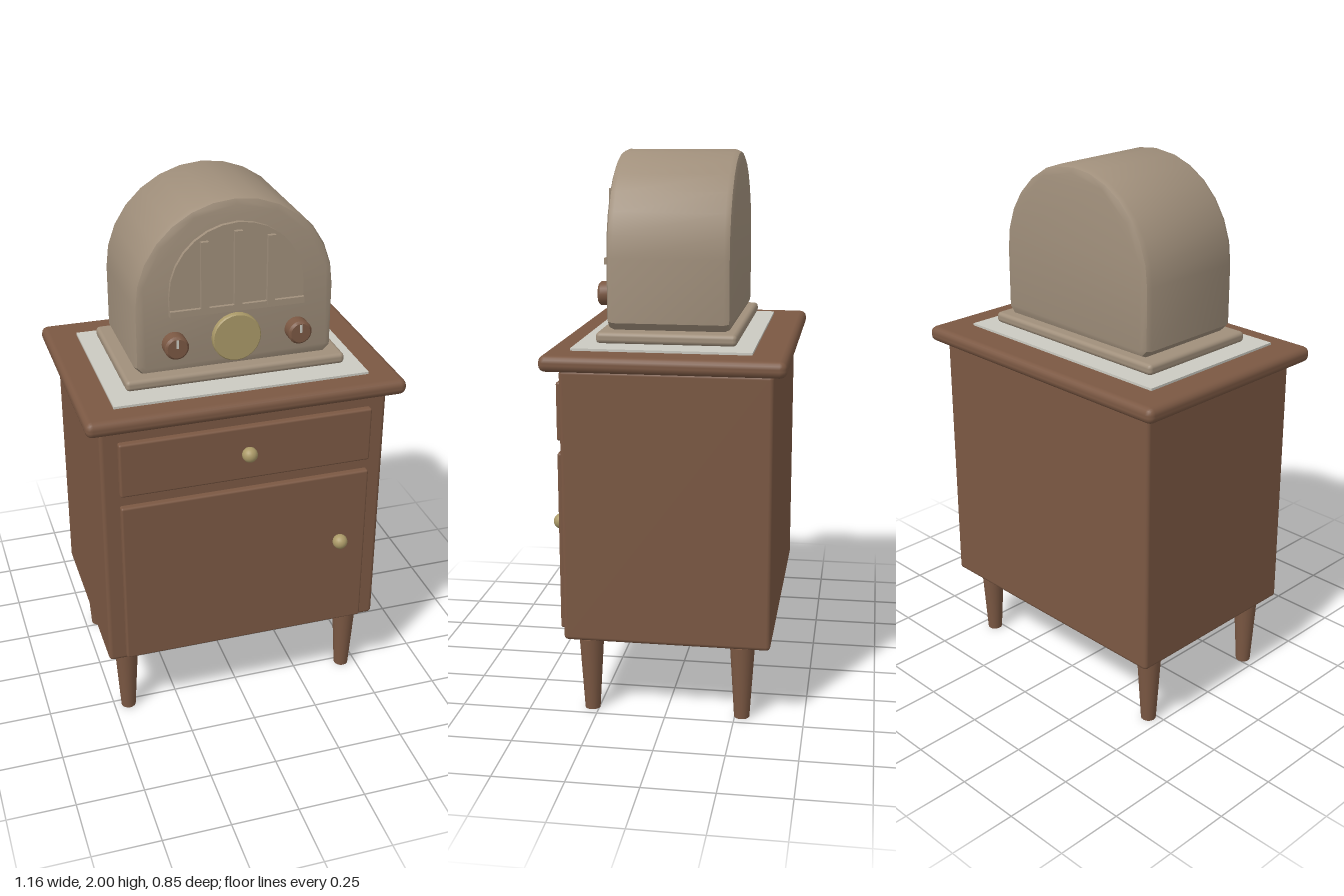
import * as THREE from 'three';
import { toCreasedNormals } from 'three/addons/utils/BufferGeometryUtils.js';
import { RoundedBoxGeometry } from 'three/addons/geometries/RoundedBoxGeometry.js';

const material = (name, color) => {
  const m = new THREE.MeshStandardMaterial({ color });
  m.name = name;
  return m;
};

export function createModel() {
  const model = new THREE.Group();
  const wood = material('brown wood', 0x7b5843);
  const shell = material('beige shell', 0xa08f7b);
  const brass = material('brass', 0xab9a68);
  const cloth = material('pale cloth', 0xcbcac1);

  const add = (parent, name, geometry, mat, x = 0, y = 0, z = 0) => {
    const mesh = new THREE.Mesh(geometry, mat);
    mesh.name = name;
    mesh.position.set(x, y, z);
    parent.add(mesh);
    return mesh;
  };
  // Rounded block given by its limits; symmetric in x
  const block = (parent, name, mat, halfX, y0, y1, z0, z1, r) =>
    add(parent, name, new RoundedBoxGeometry(halfX * 2, y1 - y0, z1 - z0, 2, r), mat,
      0, (y0 + y1) / 2, (z0 + z1) / 2);
  // Disc facing +z with a bevelled front rim
  const disc = (r, depth, bevel) => {
    const pts = [[0, 0], [r, 0], [r, depth - bevel], [r - bevel, depth], [0, depth]]
      .map(([x, y]) => new THREE.Vector2(x, y));
    return toCreasedNormals(new THREE.LatheGeometry(pts, 24).rotateX(Math.PI / 2), 0.6);
  };
  // Upright panel with a semicircular head and clipped lower corners
  const arch = (r, bottom, centre, clip) => {
    const s = new THREE.Shape();
    s.moveTo(-r + clip, bottom);
    s.lineTo(r - clip, bottom);
    if (clip) s.lineTo(r, bottom + clip);
    s.lineTo(r, centre);
    s.absarc(0, centre, r, 0, Math.PI, false);
    s.lineTo(-r, bottom + clip);
    return s;
  };

  // Cabinet
  const cabinet = new THREE.Group();
  cabinet.name = 'cabinet';
  model.add(cabinet);
  block(cabinet, 'cabinetBody', wood, 0.527, 0.29, 1.277, -0.38, 0.36, 0.015);
  block(cabinet, 'cabinetTop', wood, 0.58, 1.275, 1.333, -0.425, 0.42, 0.025);
  block(cabinet, 'drawerFront', wood, 0.465, 1.01, 1.22, 0.355, 0.385, 0.008);
  block(cabinet, 'door', wood, 0.465, 0.31, 0.965, 0.355, 0.385, 0.008);
  const pull = new THREE.SphereGeometry(0.028, 20, 14);
  add(cabinet, 'drawerKnob', pull, brass, 0, 1.117, 0.4);
  add(cabinet, 'doorKnob', pull, brass, 0.36, 0.682, 0.4);
  const leg = new THREE.CylinderGeometry(0.045, 0.028, 0.275, 16);
  for (const x of [-0.445, 0.445])
    for (const z of [-0.275, 0.275]) add(cabinet, 'leg', leg, wood, x, 0.1375, z);

  // Cloth under the radio
  add(model, 'cloth', new THREE.BoxGeometry(0.93, 0.009, 0.63), cloth, 0, 1.337, 0.015);

  // Radio body and plinth
  const radio = new THREE.Group();
  radio.name = 'radio';
  model.add(radio);
  block(radio, 'plinth', shell, 0.402, 1.348, 1.388, -0.24, 0.255, 0.015);
  const bevel = 0.025;
  const body = new THREE.ExtrudeGeometry(arch(0.36 - bevel, 1.388 + bevel, 1.64, 0.012), {
    depth: 0.39, bevelEnabled: true, bevelThickness: bevel, bevelSize: bevel,
    bevelSegments: 2, curveSegments: 7,
  });
  add(radio, 'radioBody', toCreasedNormals(body, 0.6), shell, 0, 0, -0.19);

  // Speaker grille
  const panel = new THREE.ExtrudeGeometry(arch(0.24, 1.605, 1.678, 0), {
    depth: 0.02, bevelEnabled: false, curveSegments: 7,
  });
  add(radio, 'grillePanel', toCreasedNormals(panel, 0.6), shell, 0, 0, 0.22);
  add(radio, 'grilleSill', new THREE.BoxGeometry(0.48, 0.023, 0.03), shell, 0, 1.616, 0.238);
  for (const [x, top] of [[-0.118, 1.865], [0, 1.892], [0.118, 1.865]])
    add(radio, 'grilleBar', new THREE.BoxGeometry(0.028, top - 1.615, 0.03), shell,
      x, (top + 1.615) / 2, 0.24);

  // Dial and control knobs
  add(radio, 'dial', disc(0.088, 0.025, 0.004), brass, 0, 1.5, 0.22);
  for (const x of [-0.223, 0.223]) {
    add(radio, 'controlKnob', disc(0.043, 0.053, 0.008), wood, x, 1.5, 0.222);
    add(radio, 'knobPointer', new THREE.BoxGeometry(0.008, 0.03, 0.004), cloth, x, 1.517, 0.2755);
  }
  return model;
}
